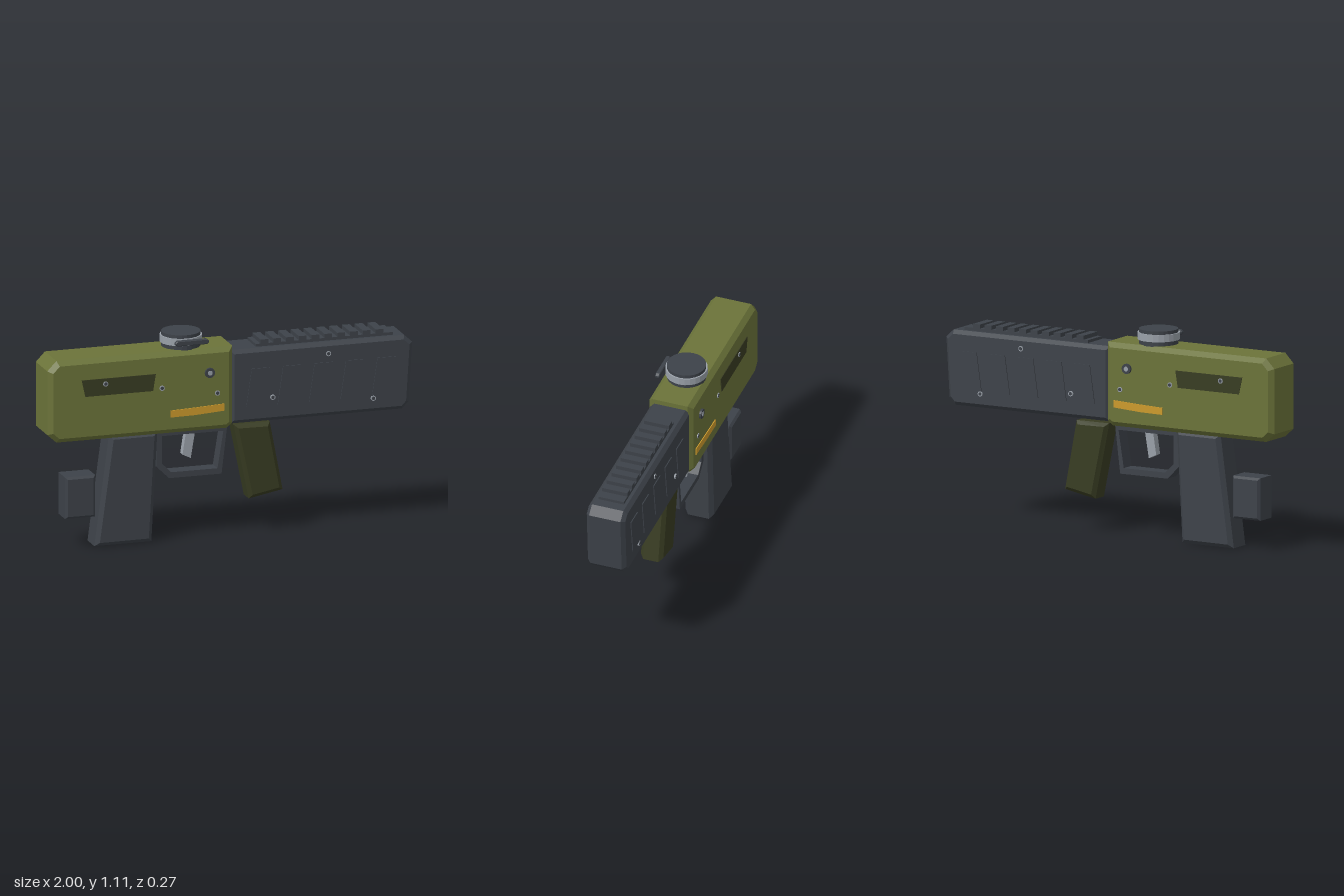
import * as THREE from 'three';

const paint = (name, color) => {
  const m = new THREE.MeshStandardMaterial({ color, flatShading: true });
  m.name = name;
  return m;
};

export function createModel() {
  const olive = paint('olive', 0x6b7339);
  const darkOlive = paint('dark olive', 0x383c22);
  const charcoal = paint('charcoal', 0x3d4249);
  const gold = paint('gold', 0xcc9a2c);
  const silver = paint('silver', 0x99a0a8);

  const root = new THREE.Group();
  root.name = 'blaster';

  const add = (name, geometry, material, x = 0, y = 0, z = 0) => {
    const mesh = new THREE.Mesh(geometry, material);
    mesh.name = name;
    mesh.position.set(x, y, z);
    root.add(mesh);
    return mesh;
  };

  // Side profile extruded along z, centred on z = 0, with chamfered edges
  const prism = (points, half, bevel = 0, hole = null) => {
    const shape = new THREE.Shape(points.map(p => new THREE.Vector2(...p)));
    if (hole) shape.holes.push(new THREE.Path(hole.map(p => new THREE.Vector2(...p))));
    const depth = 2 * (half - bevel);
    return new THREE.ExtrudeGeometry(shape, {
      depth, bevelEnabled: bevel > 0, bevelThickness: bevel, bevelSize: bevel,
      bevelOffset: -bevel, bevelSegments: 1, curveSegments: 8,
    }).translate(0, 0, -depth / 2);
  };

  // Main shells
  add('rearBody', prism([
    [-0.95, 0.59], [-0.02, 0.59], [0.012, 0.615], [0.012, 1.032],
    [-0.95, 1.032], [-1, 0.98], [-1, 0.635],
  ], 0.122, 0.025), olive);
  add('frontShroud', prism([
    [0, 0.608], [0.945, 0.608], [0.98, 0.645], [1, 0.965], [0.955, 1.006], [0, 1.006],
  ], 0.107, 0.02), charcoal);

  // Grips, stock block, guard and trigger
  add('rearGrip', prism([
    [-0.73, 0], [-0.418, 0], [-0.385, 0.595], [-0.65, 0.595],
  ], 0.08, 0.022), charcoal);
  add('rearBlock', prism([
    [-0.89, 0.16], [-0.725, 0.16], [-0.725, 0.385], [-0.89, 0.385],
  ], 0.068, 0.012), charcoal);
  add('foreGrip', prism([
    [0.12, 0.18], [0.305, 0.215], [0.235, 0.587], [0.037, 0.587],
  ], 0.062, 0.02), darkOlive);
  add('triggerGuard', prism([
    [-0.385, 0.592], [-0.385, 0.395], [-0.315, 0.327], [-0.028, 0.327], [0.004, 0.592],
  ], 0.04, 0, [
    [-0.353, 0.558], [-0.018, 0.558], [-0.05, 0.358], [-0.303, 0.358], [-0.353, 0.408],
  ]), charcoal);
  add('trigger', prism([
    [-0.215, 0.57], [-0.165, 0.57], [-0.19, 0.42], [-0.235, 0.442],
  ], 0.02), silver);

  // Top rail
  add('railBase', new THREE.BoxGeometry(0.75, 0.022, 0.14), charcoal, 0.525, 1.01, 0);
  for (let i = 0; i < 10; i++) {
    add('railTooth', new THREE.BoxGeometry(0.042, 0.025, 0.14), charcoal, 0.197 + 0.07 * i, 1.03, 0);
  }

  // Dial on top of the body
  const dialX = -0.238;
  add('dialBase', new THREE.CylinderGeometry(0.103, 0.103, 0.082, 24), charcoal, dialX, 1.07, 0);
  add('dialRing', new THREE.CylinderGeometry(0.111, 0.111, 0.038, 24), silver, dialX, 1.074, 0);
  add('dialLever', prism([
    [-0.298, 1.062], [-0.137, 1.062], [-0.125, 1.07], [-0.125, 1.08],
    [-0.137, 1.09], [-0.298, 1.09], [-0.31, 1.08], [-0.31, 1.07],
  ], 0.012, 0.004), charcoal, 0, 0, 0.122);

  // Details repeated on both sides
  const disc = (r, h) => new THREE.CylinderGeometry(r, r, h, 12).rotateX(Math.PI / 2);
  const screw = (s, x, y, z) => {
    add('screwRim', disc(0.014, 0.008), silver, x, y, s * z);
    add('screwCentre', disc(0.009, 0.008), charcoal, x, y, s * (z + 0.001));
  };
  for (const s of [1, -1]) {
    add('sidePort', prism([
      [-0.8, 0.832], [-0.43, 0.832], [-0.415, 0.922], [-0.82, 0.922],
    ], 0.004), darkOlive, 0, 0, s * 0.122);
    add('stripe', prism([
      [-0.335, 0.68], [-0.2, 0.682], [-0.04, 0.692], [-0.04, 0.73], [-0.2, 0.722], [-0.335, 0.717],
    ], 0.004), gold, 0, 0, s * 0.123);

    for (let i = 0; i < 5; i++) {
      const x = 0.15 + 0.172 * i;
      add('shroudPanel', prism([
        [x - 0.065, 0.695], [x + 0.035, 0.695], [x + 0.065, 0.9], [x - 0.035, 0.9],
      ], 0.005), charcoal, 0, 0, s * 0.107);
    }

    screw(s, -0.69, 0.893, 0.125);
    screw(s, -0.38, 0.842, 0.122);
    screw(s, -0.077, 0.79, 0.122);
    screw(s, 0.23, 0.737, 0.11);
    screw(s, 0.535, 0.946, 0.107);
    screw(s, 0.78, 0.684, 0.11);

    add('button', disc(0.027, 0.024), charcoal, -0.12, 0.904, s * 0.122);
    add('buttonCentre', disc(0.013, 0.006), silver, -0.12, 0.904, s * 0.133);
  }

  return root;
}
